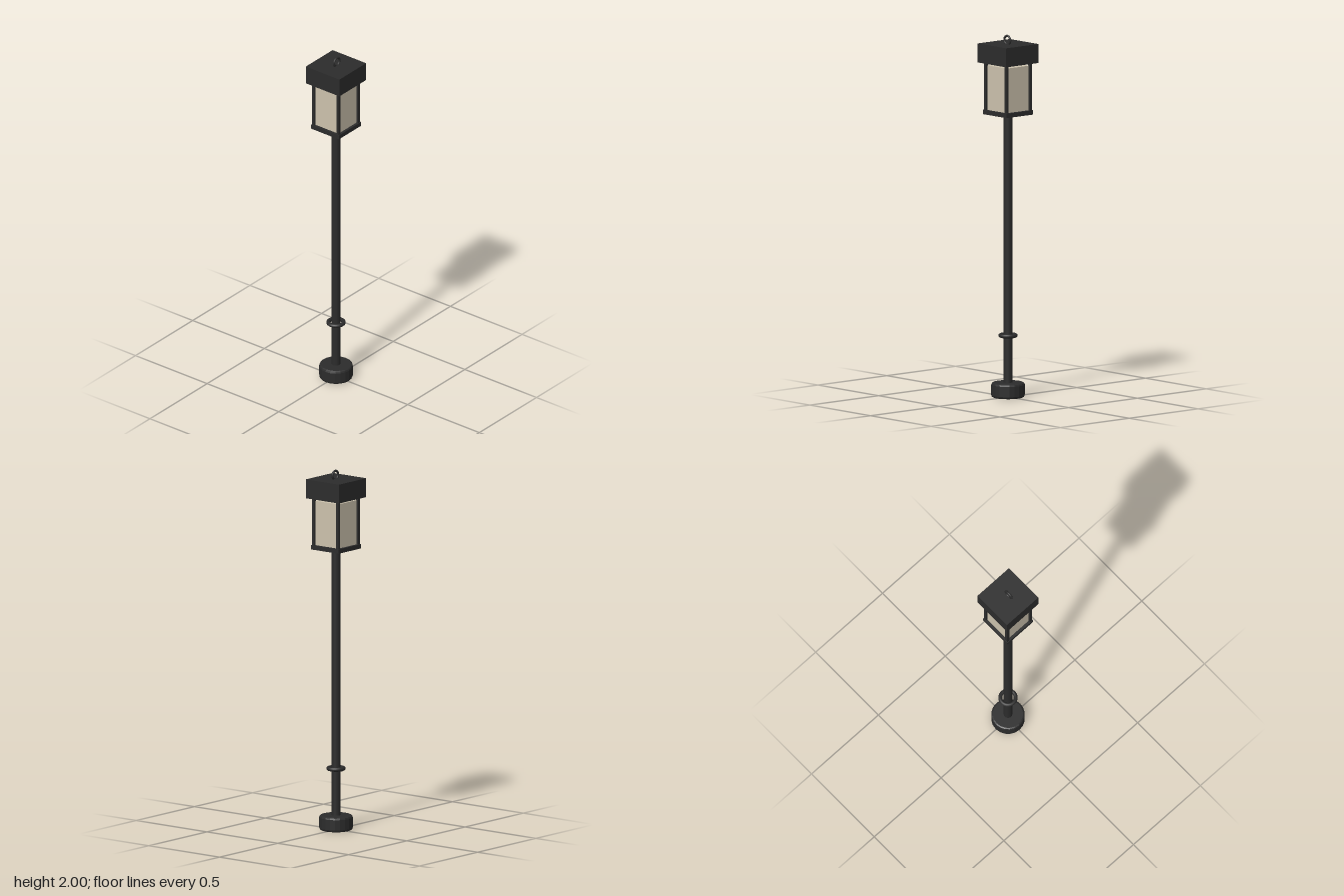
import * as THREE from 'three';

export function createModel() {
  const model = new THREE.Group();
  model.name = 'lampPost';

  const iron = new THREE.MeshStandardMaterial({ color: 0x2c2c2c });
  iron.name = 'dark iron';
  const glass = new THREE.MeshStandardMaterial({ color: 0xccc2ad });
  glass.name = 'warm frosted glass';

  const add = (name, geometry, material, x, y, z) => {
    const mesh = new THREE.Mesh(geometry, material);
    mesh.name = name;
    mesh.position.set(x, y, z);
    model.add(mesh);
    return mesh;
  };
  const faceted = (geometry) => {
    const flat = geometry.toNonIndexed();
    flat.computeVertexNormals();
    return flat;
  };

  // Round foot with softened edges
  const footProfile = [
    [0, 0], [0.082, 0], [0.089, 0.004], [0.092, 0.012],
    [0.092, 0.069], [0.089, 0.077], [0.082, 0.081], [0, 0.081],
  ].map(([r, y]) => new THREE.Vector2(r, y));
  add('foot', faceted(new THREE.LatheGeometry(footProfile, 20)), iron, 0, 0, 0);

  // Pole and the loose ring around it
  add('pole', new THREE.CylinderGeometry(0.024, 0.024, 1.49, 16), iron, 0, 0.825, 0);
  const collar = add('collarRing', new THREE.TorusGeometry(0.042, 0.011, 10, 28), iron, 0, 0.34, 0);
  collar.rotation.x = Math.PI / 2;

  // Lantern: floor plate, glass, corner posts, cap
  add('lanternFloor', new THREE.BoxGeometry(0.194, 0.024, 0.194), iron, 0, 1.572, 0);
  add('lanternGlass', new THREE.BoxGeometry(0.164, 0.246, 0.164), glass, 0, 1.707, 0);
  for (const x of [-1, 1]) {
    for (const z of [-1, 1]) {
      add('cornerPost', new THREE.BoxGeometry(0.016, 0.27, 0.016), iron, x * 0.085, 1.715, z * 0.085);
    }
  }
  add('lanternCap', new THREE.BoxGeometry(0.234, 0.105, 0.234), iron, 0, 1.8975, 0);

  // Lifting ring on the cap
  add('topRing', new THREE.TorusGeometry(0.024, 0.006, 10, 28), iron, 0, 1.97, 0.005);

  return model;
}
